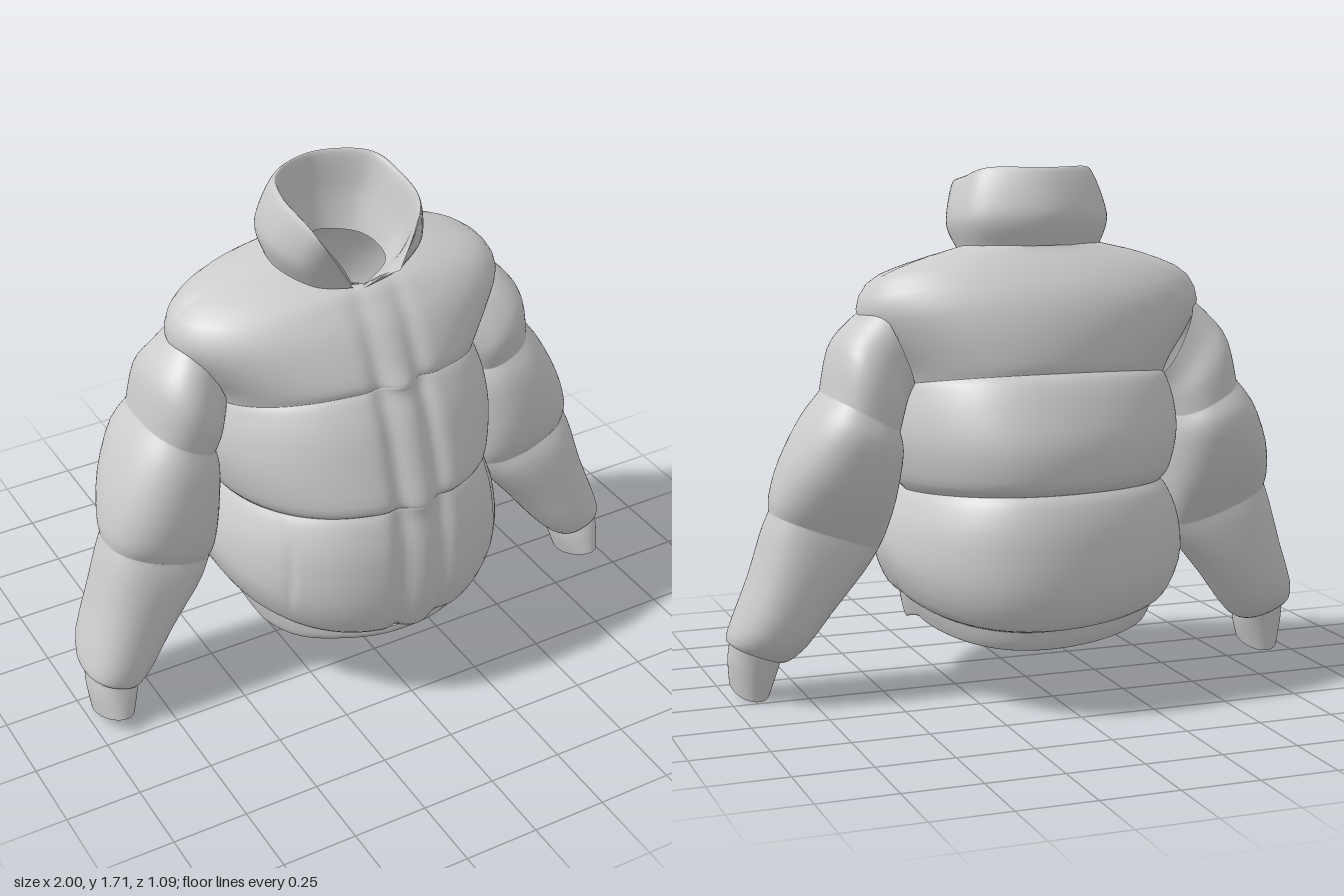
import * as THREE from 'three';

const material = new THREE.MeshStandardMaterial({ color: 0xcccccc, side: THREE.DoubleSide });

// Smooth interpolation through rows of numbers; returns a row at t in 0..1
function sampleRows(rows, t) {
  const last = rows.length - 1;
  const f = Math.min(t * last, last - 1e-6), i = Math.floor(f), u = f - i;
  const at = (k) => rows[Math.max(0, Math.min(last, k))];
  return rows[0].map((_, k) => {
    const [a, b, c, d] = [at(i - 1)[k], at(i)[k], at(i + 1)[k], at(i + 2)[k]];
    return b + 0.5 * u * (c - a + u * (2 * a - 5 * b + 4 * c - d + u * (3 * (b - c) + d - a)));
  });
}

// Skin a grid of points, ring after ring
function skin(name, rings, closed, flip) {
  const n = rings[0].length, pos = rings.flat(2), index = [];
  for (let r = 0; r < rings.length - 1; r++) {
    for (let i = 0; i < (closed ? n : n - 1); i++) {
      const j = (i + 1) % n;
      const a = r * n + i, b = r * n + j, c = a + n, d = b + n;
      if (flip) index.push(a, b, c, b, d, c);
      else index.push(a, c, b, b, c, d);
    }
  }
  const geo = new THREE.BufferGeometry();
  geo.setAttribute('position', new THREE.Float32BufferAttribute(pos, 3));
  geo.setIndex(index);
  geo.computeVertexNormals();
  const mesh = new THREE.Mesh(geo, material);
  mesh.name = name;
  return mesh;
}

// Quilted panels share their end rows, which form the pinched seams
function loftPanels(panels, steps, makeRing) {
  const rings = [];
  panels.forEach((rows, p) => {
    for (let k = p ? 1 : 0; k <= steps; k++) {
      // denser sampling towards the seams
      const t = 0.5 - 0.5 * Math.cos(Math.PI * k / steps);
      rings.push(makeRing(sampleRows(rows, t), t, p));
    }
  });
  return rings;
}

const bell = (x, width) => Math.exp(-((x / width) ** 2));
const signedPow = (v, e) => Math.sign(v) * Math.abs(v) ** e;

// Body rows: front y, side y, back y, half width, front z, back z
const hemTop = [0.285, 0.33, 0.28, 0.415, 0.465, -0.44];
const lowSeam = [0.775, 0.69, 0.72, 0.43, 0.495, -0.475];
const highSeam = [1.15, 1.03, 1.09, 0.45, 0.36, -0.395];
const bodyPanels = [
  [[0.29, 0.30, 0.26, 0.365, 0.42, -0.39], [0.25, 0.265, 0.215, 0.385, 0.445, -0.41],
    [0.265, 0.29, 0.24, 0.40, 0.465, -0.43], hemTop],
  [hemTop, [0.33, 0.37, 0.31, 0.46, 0.515, -0.50], [0.45, 0.48, 0.42, 0.50, 0.545, -0.54],
    [0.62, 0.58, 0.58, 0.488, 0.54, -0.535], [0.73, 0.655, 0.68, 0.455, 0.515, -0.505], lowSeam],
  [lowSeam, [0.81, 0.74, 0.76, 0.46, 0.51, -0.51], [0.92, 0.85, 0.87, 0.485, 0.475, -0.515],
    [1.04, 0.94, 0.98, 0.48, 0.43, -0.475], [1.12, 1.01, 1.06, 0.46, 0.385, -0.43], highSeam],
  [highSeam, [1.18, 1.09, 1.13, 0.475, 0.36, -0.40], [1.25, 1.17, 1.23, 0.535, 0.325, -0.385],
    [1.32, 1.26, 1.33, 0.58, 0.28, -0.345], [1.37, 1.36, 1.41, 0.535, 0.235, -0.275],
    [1.405, 1.425, 1.46, 0.39, 0.20, -0.215], [1.42, 1.47, 1.48, 0.23, 0.17, -0.20]],
];

function bodyRing([yF, yS, yB, w, zF, zB], t, panel) {
  const ring = [], N = 240, zMid = -0.045;
  const yoke = panel === 3 ? t : 0;
  for (let i = 0; i < N; i++) {
    const a = (i / N) * Math.PI * 2, c = Math.cos(a), s = Math.sin(a);
    // front fuller than the back
    const e = s > 0 ? 0.86 + 0.14 * yoke : 1;
    let x = signedPow(c, e) * w;
    let y = yS + ((s > 0 ? yF : yB) - yS) * Math.abs(s);
    let z = zMid + signedPow(s, e) * (s > 0 ? zF - zMid : zMid - zB);
    // back fullness leans to the left
    if (s < 0) x += 0.07 * Math.abs(s) ** 3 * (1 - yoke);
    // front hem corners hang lower
    if (s > 0 && panel === 0) y -= 0.045 * Math.sin(Math.PI * t) * bell(Math.abs(x) - 0.37, 0.11) * Math.min(1, 3 * s);
    if (s > 0 && panel > 0) {
      // zip placket: flat strip between two soft grooves, bridging the seams
      const nearSeam = bell(t, 0.15) + (panel < 3 ? bell(1 - t, 0.15) : 0);
      z -= (1 - 0.7 * yoke) * 0.022 * (bell(x - 0.09, 0.035) + bell(x + 0.05, 0.035));
      z += 0.025 * nearSeam * bell(x - 0.02, 0.09);
      // pocket slits
      if (panel === 1) {
        const slit = 0.012 * bell(Math.abs(x) - 0.385, 0.009) * bell(y - 0.56, 0.1);
        x -= slit * c;
        z -= slit * s;
      }
    }
    ring.push([x, y, z]);
  }
  return ring;
}

// Sleeve rows: outer x, y, inner x, y, front z, back z, end tilt
const armSeam = [0.70, 1.015, 0.47, 0.89, 0.14, -0.25, 0];
const elbowSeam = [0.865, 0.63, 0.515, 0.50, 0.15, -0.13, 0];
const wristSeam = [0.985, 0.195, 0.825, 0.14, 0.18, -0.01, 0];
const sleevePanels = [
  [[0.54, 1.29, 0.42, 1.02, 0.09, -0.20, 0], [0.60, 1.24, 0.44, 0.98, 0.13, -0.215, 0],
    [0.665, 1.16, 0.455, 0.94, 0.155, -0.245, 0], armSeam],
  [armSeam, [0.765, 0.93, 0.46, 0.82, 0.17, -0.275, 0], [0.83, 0.80, 0.475, 0.67, 0.185, -0.24, 0],
    [0.862, 0.69, 0.495, 0.56, 0.175, -0.175, 0], elbowSeam],
  [elbowSeam, [0.89, 0.56, 0.56, 0.43, 0.175, -0.135, 0], [0.93, 0.42, 0.67, 0.30, 0.187, -0.13, 0],
    [0.98, 0.28, 0.755, 0.19, 0.20, -0.11, 0], [0.998, 0.21, 0.81, 0.135, 0.195, -0.05, 0], wristSeam],
  [wristSeam, [0.99, 0.13, 0.835, 0.095, 0.20, 0, 0.1], [0.983, 0.045, 0.857, 0.03, 0.22, 0.015, 0.25]],
];

function sleeve(name, side) {
  const N = 72;
  const rings = loftPanels(sleevePanels, 16, ([xo, yo, xi, yi, zF, zB, tilt], t, panel) =>
    Array.from({ length: N }, (_, i) => {
      // padded sections are squarish, the cuff turns round
      const a = (i / N) * Math.PI * 2, e = panel === 3 ? 0.82 + 0.18 * t : 0.82;
      const c = signedPow(Math.cos(a), e), dz = signedPow(Math.sin(a), e) * (zF - zB) / 2;
      return [side * ((xo + xi) / 2 + c * (xo - xi) / 2),
        (yo + yi) / 2 + c * (yo - yi) / 2 + tilt * dz, (zF + zB) / 2 + dz];
    }));
  return skin(name, rings, true, side > 0);
}

// Collar levels from outer base over the rim to inner base; each runs right end, back, left end
const collarLevels = [
  [[-0.05, 1.42, 0.18], [-0.16, 1.43, 0.13], [-0.23, 1.46, 0], [-0.19, 1.47, -0.14], [0, 1.475, -0.21],
    [0.19, 1.47, -0.14], [0.23, 1.46, 0], [0.16, 1.43, 0.14], [-0.03, 1.42, 0.20]],
  [[-0.12, 1.53, 0.22], [-0.21, 1.53, 0.14], [-0.255, 1.56, 0], [-0.21, 1.57, -0.155], [0, 1.58, -0.235],
    [0.21, 1.57, -0.155], [0.255, 1.56, 0], [0.2, 1.52, 0.17], [-0.02, 1.50, 0.29]],
  [[-0.19, 1.635, 0.26], [-0.2, 1.67, 0.17], [-0.205, 1.70, 0], [-0.16, 1.72, -0.11], [0, 1.72, -0.18],
    [0.16, 1.72, -0.11], [0.205, 1.69, 0], [0.18, 1.655, 0.19], [0, 1.57, 0.38]],
  [[-0.11, 1.53, 0.21], [-0.15, 1.53, 0.11], [-0.17, 1.56, 0], [-0.13, 1.57, -0.11], [0, 1.58, -0.16],
    [0.13, 1.57, -0.11], [0.17, 1.56, 0], [0.15, 1.52, 0.15], [-0.01, 1.50, 0.275]],
  [[-0.045, 1.425, 0.17], [-0.11, 1.43, 0.09], [-0.14, 1.44, 0], [-0.11, 1.45, -0.09], [0, 1.46, -0.14],
    [0.11, 1.45, -0.09], [0.14, 1.44, 0], [0.11, 1.43, 0.1], [-0.02, 1.425, 0.19]],
];

function collar() {
  const strips = collarLevels.map((level) =>
    Array.from({ length: 81 }, (_, i) => sampleRows(level, i / 80)));
  const rings = Array.from({ length: 33 }, (_, k) =>
    strips[0].map((_, i) => sampleRows(strips.map((strip) => strip[i]), k / 32)));
  return skin('collar', rings, false, false);
}

export function createModel() {
  const jacket = new THREE.Group();
  jacket.name = 'pufferJacket';
  jacket.add(
    skin('quiltedBody', loftPanels(bodyPanels, 22, bodyRing), true, false),
    sleeve('leftSleeve', 1),
    sleeve('rightSleeve', -1),
    collar(),
  );
  return jacket;
}
